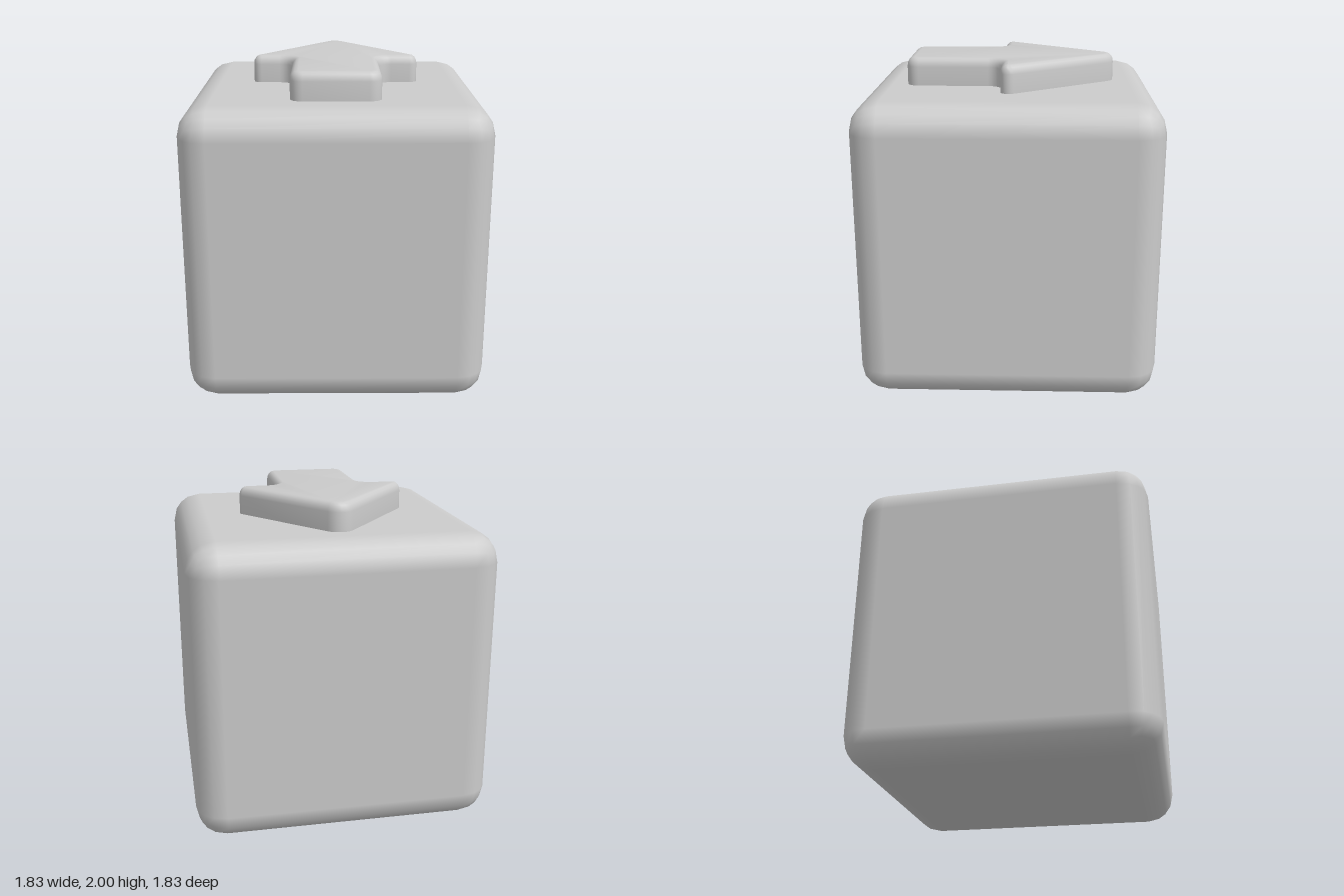
import * as THREE from 'three';
import { toCreasedNormals } from 'three/addons/utils/BufferGeometryUtils.js';
import { RoundedBoxGeometry } from 'three/addons/geometries/RoundedBoxGeometry.js';

// Polygon of [x, y, radius] corners, each rounded with a true arc
function roundedOutline(corners, steps = 6) {
  const points = [];
  corners.forEach(([x, y, r], i) => {
    const n = corners.length;
    const p = new THREE.Vector2(x, y);
    const a = new THREE.Vector2(...corners[(i + n - 1) % n].slice(0, 2)).sub(p).normalize();
    const b = new THREE.Vector2(...corners[(i + 1) % n].slice(0, 2)).sub(p).normalize();
    const half = Math.acos(a.dot(b)) / 2;
    const centre = p.clone().addScaledVector(a.clone().add(b).normalize(), r / Math.sin(half));
    const trim = r / Math.tan(half);
    const from = p.clone().addScaledVector(a, trim).sub(centre);
    const to = p.clone().addScaledVector(b, trim).sub(centre);
    const sweep = Math.atan2(from.cross(to), from.dot(to));
    for (let s = 0; s <= steps; s++) {
      points.push(from.clone().rotateAround(new THREE.Vector2(), sweep * s / steps).add(centre));
    }
  });
  return new THREE.Shape(points);
}

export function createModel() {
  const group = new THREE.Group();
  const material = new THREE.MeshStandardMaterial({ color: 0xcccccc });

  // Soft-edged cube
  const size = 1.83;
  const block = new THREE.Mesh(new RoundedBoxGeometry(size, size, size, 2, 0.18), material);
  block.name = 'block';
  block.position.y = size / 2;
  group.add(block);

  // Right half of the arrow from tail to wing, mirrored around the tip
  const side = [[0.27, -0.64, 0.075], [0.27, -0.05, 0.085], [0.57, -0.05, 0.05]];
  const mirrored = side.map(([x, y, r]) => [-x, y, r]).reverse();
  const outline = roundedOutline([...side, [0, 0.715, 0.094], ...mirrored]);

  // Raised arrow pointing to the back, with a rounded top rim and its foot sunk in the cube
  const foot = 1.72, rim = 0.055;
  const arrowGeometry = new THREE.ExtrudeGeometry(outline, {
    depth: 2 - rim - foot,
    bevelThickness: rim,
    bevelSize: 0.045,
    bevelOffset: -0.045,
    bevelSegments: 4,
  });
  arrowGeometry.rotateX(-Math.PI / 2);
  const arrow = new THREE.Mesh(toCreasedNormals(arrowGeometry, 0.7), material);
  arrow.name = 'raisedArrow';
  arrow.position.y = foot;
  group.add(arrow);

  return group;
}
